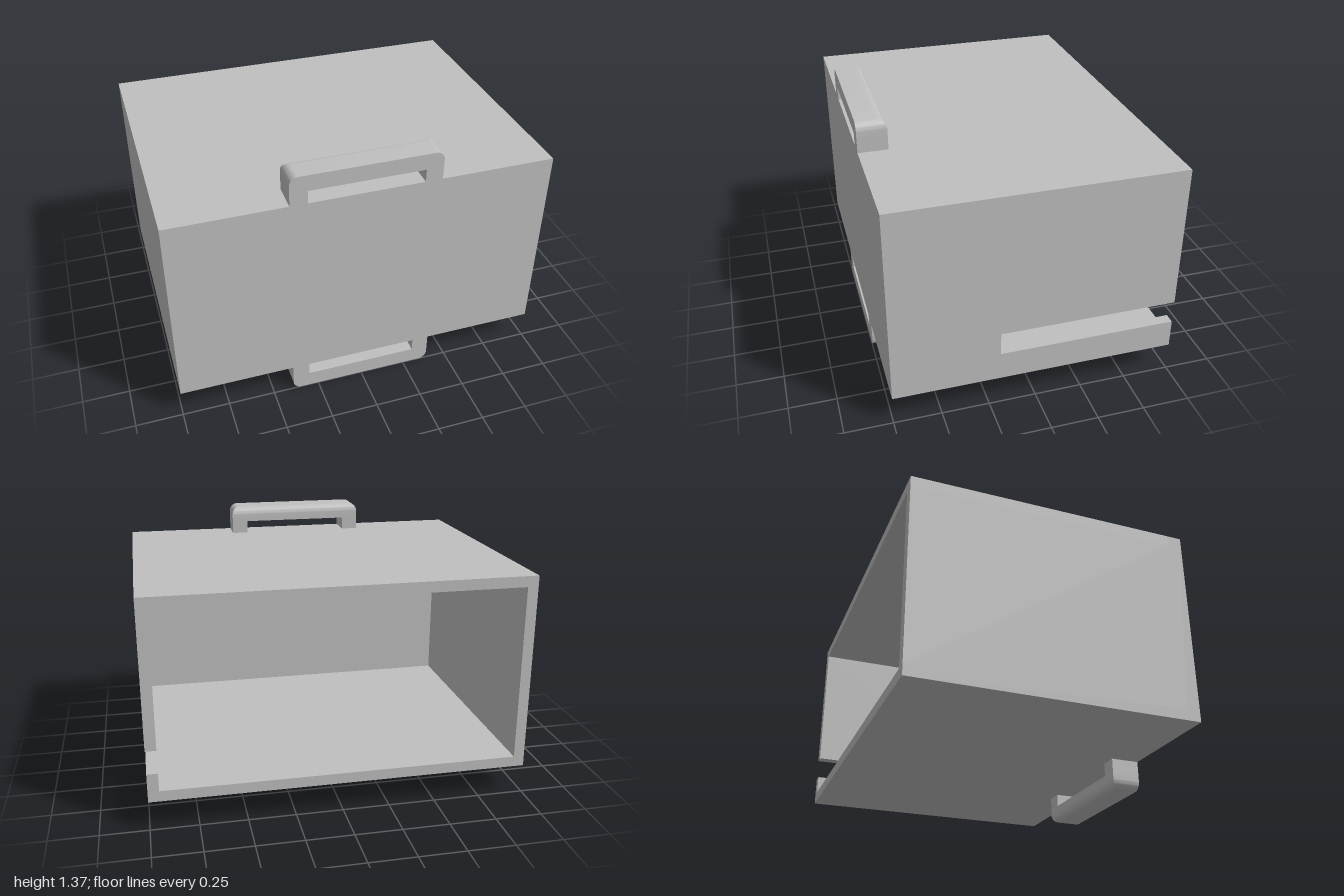
import * as THREE from 'three';
import { toCreasedNormals } from 'three/addons/utils/BufferGeometryUtils.js';

const HALF_W = 1, HALF_D = 0.75, BOTTOM = 0.16, TOP = 1.22;
const WALL = 0.057, FRONT = 0.08;
const MID = (BOTTOM + TOP) / 2;

function box(name, material, x0, x1, y0, y1, z0, z1) {
  const mesh = new THREE.Mesh(new THREE.BoxGeometry(x1 - x0, y1 - y0, z1 - z0), material);
  mesh.position.set((x0 + x1) / 2, (y0 + y1) / 2, (z0 + z1) / 2);
  mesh.name = name;
  return mesh;
}

// Grip bar: stacked rectangles, inset along a quarter circle on the back and ends
function gripGeometry(halfWidth, y0, y1, zBack, zFront, radius) {
  const rings = [];
  const addRing = (y, inset) => {
    const x = halfWidth - inset, z = zBack + inset;
    rings.push([[-x, y, zFront], [x, y, zFront], [x, y, z], [-x, y, z]]);
  };
  addRing(y0, 0);
  const steps = 8;
  for (let i = 0; i <= steps; i++) {
    const a = (i / steps) * Math.PI / 2;
    addRing(y1 - radius + radius * Math.sin(a), radius * (1 - Math.cos(a)));
  }
  const pos = [];
  const quad = (a, b, c, d) => pos.push(...a, ...b, ...c, ...a, ...c, ...d);
  for (let r = 0; r < rings.length - 1; r++) {
    for (let i = 0; i < 4; i++) {
      const j = (i + 1) % 4;
      quad(rings[r][i], rings[r][j], rings[r + 1][j], rings[r + 1][i]);
    }
  }
  const [a, b, c, d] = rings[0];
  quad(d, c, b, a);
  quad(...rings[rings.length - 1]);
  const geometry = new THREE.BufferGeometry();
  geometry.setAttribute('position', new THREE.Float32BufferAttribute(pos, 3));
  return toCreasedNormals(geometry, 0.5);
}

// Handle standing on the top of the case
function makeHandle(name, material) {
  const handle = new THREE.Group();
  handle.name = name;
  const zBack = 0.595, half = 0.39, inner = 0.3, gripY = 1.29;
  const grip = new THREE.Mesh(gripGeometry(half, gripY, 1.377, zBack, HALF_D, 0.045), material);
  grip.name = 'grip';
  handle.add(grip);
  handle.add(box('leftLeg', material, inner, half, TOP, gripY, zBack, HALF_D));
  handle.add(box('rightLeg', material, -half, -inner, TOP, gripY, zBack, HALF_D));
  return handle;
}

export function createModel() {
  const model = new THREE.Group();
  model.name = 'drawerCase';
  const grey = new THREE.MeshStandardMaterial({ color: 0xc0c0c0 });
  grey.name = 'grey';

  // Case, open at the back
  const inside = HALF_D - FRONT;
  const xIn = HALF_W - WALL;
  model.add(box('frontPanel', grey, -HALF_W, HALF_W, BOTTOM, TOP, inside, HALF_D));
  model.add(box('topPanel', grey, -HALF_W, HALF_W, TOP - WALL, TOP, -HALF_D, inside));
  model.add(box('bottomPanel', grey, -HALF_W, HALF_W, BOTTOM, BOTTOM + WALL, -HALF_D, inside));
  model.add(box('rightWall', grey, -HALF_W, -xIn, BOTTOM + WALL, TOP - WALL, -HALF_D, inside));

  // Left wall with a slot open to the back
  const outline = [
    [-HALF_D, BOTTOM + WALL], [inside, BOTTOM + WALL], [inside, TOP - WALL], [-HALF_D, TOP - WALL],
    [-HALF_D, 0.44], [0.19, 0.44], [0.19, 0.315], [-HALF_D, 0.315],
  ].map(([z, y]) => new THREE.Vector2(z, y));
  const wallGeometry = new THREE.ExtrudeGeometry(new THREE.Shape(outline), { depth: WALL, bevelEnabled: false });
  wallGeometry.rotateY(-Math.PI / 2);
  const leftWall = new THREE.Mesh(wallGeometry, grey);
  leftWall.position.x = HALF_W;
  leftWall.name = 'leftWall';
  model.add(leftWall);

  // Matching handles above and below
  model.add(makeHandle('topHandle', grey));
  const lower = makeHandle('bottomHandle', grey);
  lower.traverse((part) => {
    if (!part.isMesh) return;
    part.position.y = 2 * MID - part.position.y;
    if (part.name === 'grip') {
      // Mirror the grip in y and swap corners so its faces still point outwards
      const g = part.geometry;
      g.scale(1, -1, 1);
      const p = g.attributes.position, n = g.attributes.normal;
      for (const attribute of [p, n]) {
        for (let i = 0; i < attribute.count; i += 3) {
          const v = new THREE.Vector3().fromBufferAttribute(attribute, i + 1);
          const w = new THREE.Vector3().fromBufferAttribute(attribute, i + 2);
          attribute.setXYZ(i + 1, w.x, w.y, w.z);
          attribute.setXYZ(i + 2, v.x, v.y, v.z);
        }
      }
    }
  });
  model.add(lower);
  return model;
}
